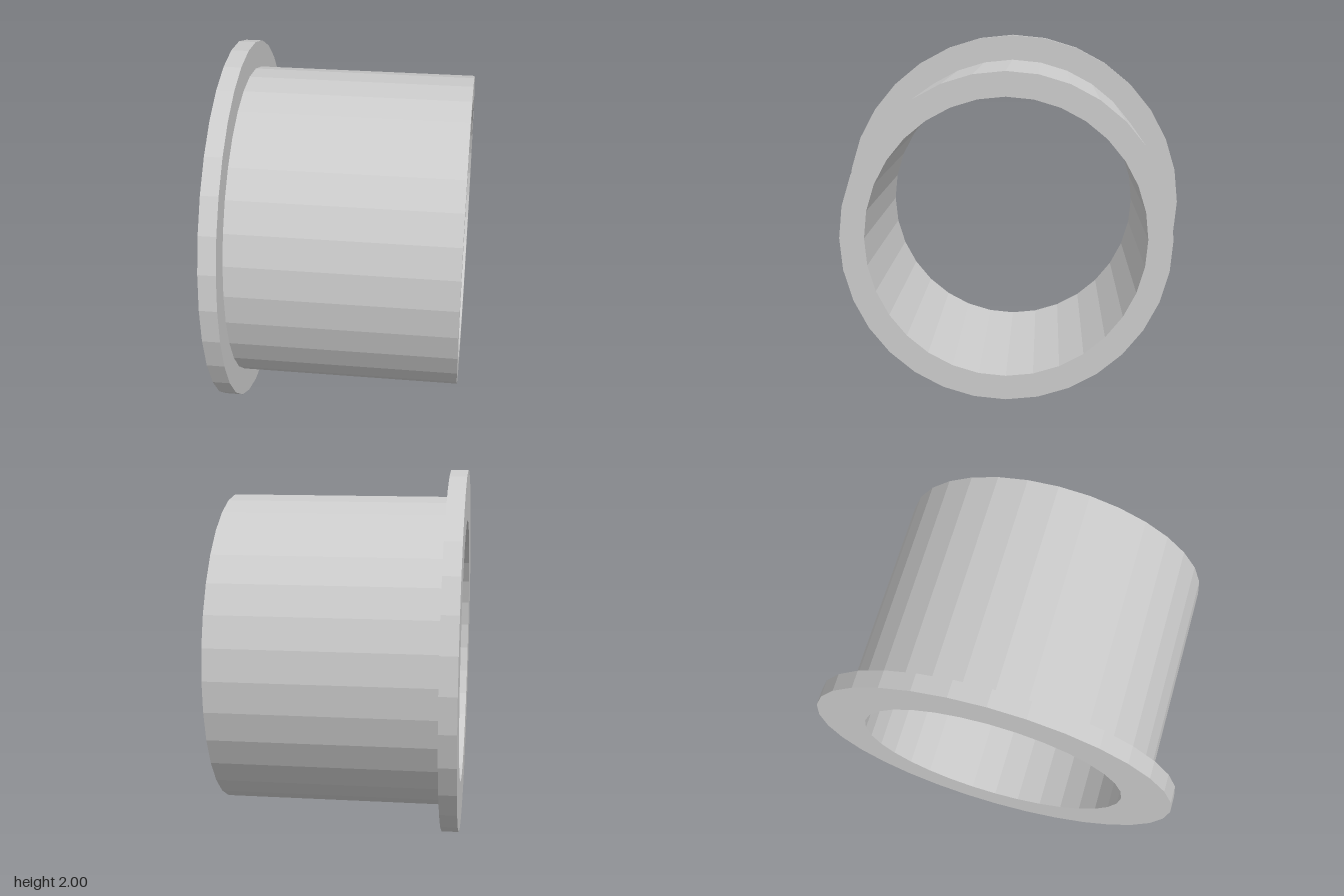
import * as THREE from 'three';

const SIDES = 32;
const HALF_LENGTH = 0.643;
const FLANGE_END = -0.55;
const BORE = 0.727, SLEEVE = 0.855, FLANGE = 1;

export function createModel() {
  const group = new THREE.Group();
  group.name = 'flangedBushing';

  // Closed ring profile (radius, position along the axis), faceted all round
  const profile = [
    [BORE, -HALF_LENGTH],
    [FLANGE, -HALF_LENGTH],
    [FLANGE, FLANGE_END],
    [SLEEVE, FLANGE_END],
    [SLEEVE, HALF_LENGTH],
    [BORE, HALF_LENGTH],
    [BORE, -HALF_LENGTH],
  ].map(([r, a]) => new THREE.Vector2(r, a));

  // Lay the axis along x, flange at -x, and rest it on the ground
  const geometry = new THREE.LatheGeometry(profile, SIDES);
  geometry.rotateZ(-Math.PI / 2);
  geometry.translate(0, FLANGE, 0);

  const material = new THREE.MeshStandardMaterial({ color: 0xcccccc, flatShading: true });
  const bushing = new THREE.Mesh(geometry, material);
  bushing.name = 'sleeveWithFlange';
  group.add(bushing);
  return group;
}
